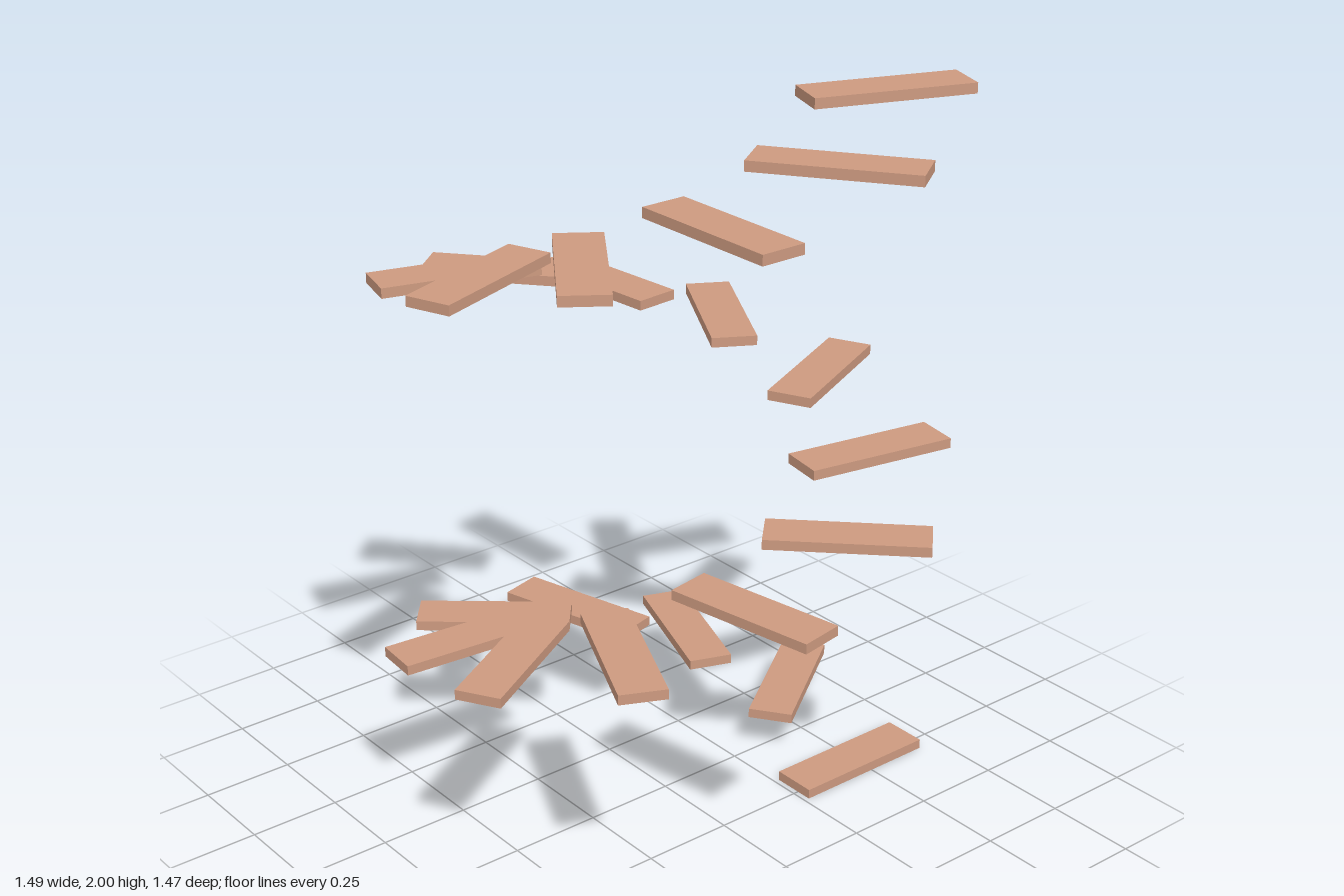
import * as THREE from 'three';

// A spiral of floating, pinwheeled treads, each turned 35 degrees from the last.
export function createModel() {
  const model = new THREE.Group();
  model.name = 'spiralStair';

  const count = 21;
  const turn = THREE.MathUtils.degToRad(35);
  const [length, thickness, width] = [0.42, 0.027, 0.123];
  const rise = (2 - thickness) / (count - 1);

  const material = new THREE.MeshStandardMaterial({ color: 0xcd9a80 });
  const treadGeometry = new THREE.BoxGeometry(length, thickness, width);
  // Treads sit off the radial line, so offset them from the spiral axis
  treadGeometry.translate(0.478, thickness / 2, 0.226);

  for (let i = 0; i < count; i++) {
    const tread = new THREE.Mesh(treadGeometry, material);
    tread.name = `tread${i + 1}`;
    tread.position.set(-0.003, i * rise, 0.007);
    tread.rotation.y = i * turn;
    model.add(tread);
  }
  return model;
}
